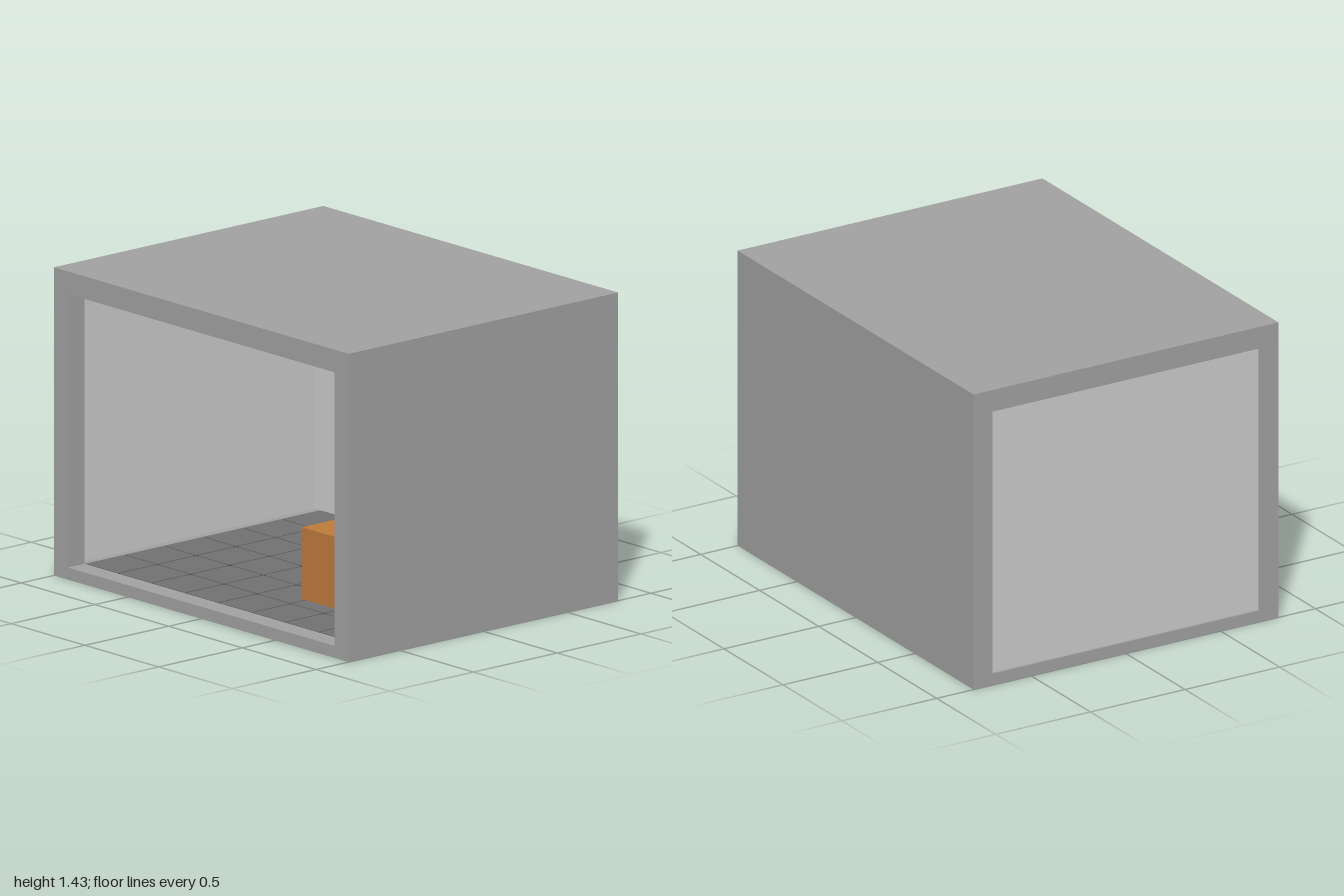
import * as THREE from 'three';

const mat = (color) => new THREE.MeshStandardMaterial({ color });
const M = {
  shell: mat(0xa1a1a1), wall: mat(0xcccccc), tile: mat(0x717171), grout: mat(0x2a2a2a),
  cream: mat(0xfaeae2), wood: mat(0xbd7b3a), black: mat(0x151515), metal: mat(0x8a8f92),
};

// Box given by its min and max on each axis
function box(parent, name, material, [x0, x1], [y0, y1], [z0, z1]) {
  const mesh = new THREE.Mesh(new THREE.BoxGeometry(x1 - x0, y1 - y0, z1 - z0), material);
  mesh.position.set((x0 + x1) / 2, (y0 + y1) / 2, (z0 + z1) / 2);
  mesh.name = name;
  parent.add(mesh);
  return mesh;
}

function part(parent, name) {
  const g = new THREE.Group();
  g.name = name;
  parent.add(g);
  return g;
}

const H = 1.43, W = 0.905, D = 0.705, FLOOR = 0.057, CEIL = 1.325;

function addRoom(root) {
  const room = part(root, 'room');
  box(room, 'floorSlab', M.shell, [-1, 1], [0, 0.05], [-0.805, 0.805]);
  box(room, 'ceiling', M.shell, [-1, 1], [CEIL, H], [-0.805, 0.805]);
  box(room, 'backWall', M.shell, [-1, 1], [0.05, CEIL], [-0.805, -D]);
  box(room, 'leftWall', M.shell, [W, 1], [0.05, CEIL], [-D, 0.805]);
  box(room, 'cornerPost', M.shell, [-1, -W], [0.05, CEIL], [D, 0.805]);
  // Low sills under the two openings
  box(room, 'frontSill', M.shell, [-W, W], [0.05, 0.056], [D, 0.805]);
  box(room, 'sideSill', M.shell, [-1, -W], [0.05, 0.056], [-D, D]);
  // Pale wall panels
  box(room, 'sidePanel', M.wall, [-0.99, -0.94], [0.056, CEIL], [-D, D]);
  box(room, 'backLining', M.wall, [-0.94, W], [0.05, CEIL], [-D, -0.7]);
  box(room, 'leftLining', M.wall, [W - 0.004, W], [0.05, CEIL], [-0.7, D]);

  // Tiled floor: dark grout under separate tiles
  const floor = part(root, 'tiledFloor');
  box(floor, 'grout', M.grout, [-W, W], [0.05, 0.052], [-0.7, D]);
  const nx = 8, nz = 6, gap = 0.006, sx = (2 * W) / nx, sz = (2 * D) / nz;
  for (let i = 0; i < nx; i++) {
    for (let j = 0; j < nz; j++) {
      const x = -W + i * sx, z = -D + j * sz;
      box(floor, 'floorTile', M.tile, [x + gap, x + sx - gap], [0.052, FLOOR], [z + gap, z + sz - gap]);
    }
  }
}

function addCabinet(root) {
  const cabinet = part(root, 'filingCabinet');
  box(cabinet, 'cabinetBody', M.cream, [-0.135, 0.045], [FLOOR, 0.5], [-0.545, -0.352]);
  box(cabinet, 'cabinetTop', M.cream, [-0.14, 0.05], [0.5, 0.53], [-0.546, -0.342]);
  // Three drawers, each with a dark recessed pull under a lip
  for (const y of [0.15, 0.305, 0.44]) {
    const drawer = part(cabinet, 'cabinetDrawer');
    const low = y < 0.2 ? 0.075 : y < 0.4 ? 0.23 : 0.368;
    const high = y < 0.2 ? 0.222 : y < 0.4 ? 0.36 : 0.495;
    box(drawer, 'drawerFront', M.cream, [-0.128, 0.04], [low, high], [-0.352, -0.344]);
    box(drawer, 'drawerPull', M.black, [-0.08, -0.012], [y - 0.016, y + 0.014], [-0.344, -0.341]);
    box(drawer, 'pullLip', M.cream, [-0.083, -0.009], [y + 0.014, y + 0.022], [-0.344, -0.336]);
  }
}

function addDesk(root) {
  const desk = part(root, 'desk');
  box(desk, 'deskTop', M.wood, [0.2, 0.43], [0.37, 0.39], [-0.26, 0.38]);
  box(desk, 'frontEndPanel', M.wood, [0.2, 0.43], [FLOOR, 0.37], [0.36, 0.38]);
  box(desk, 'backEndPanel', M.wood, [0.2, 0.43], [FLOOR, 0.37], [-0.26, -0.24]);
  // Drawer pedestal opening towards the sitter
  box(desk, 'pedestalBase', M.wood, [0.2, 0.43], [FLOOR, 0.072], [-0.24, -0.06]);
  box(desk, 'pedestalBody', M.wall, [0.2, 0.42], [0.072, 0.37], [-0.24, -0.062]);
  for (const [y0, y1] of [[0.08, 0.176], [0.182, 0.27], [0.276, 0.364]]) {
    box(desk, 'deskDrawer', M.wood, [0.42, 0.428], [y0, y1], [-0.236, -0.066]);
    if (y0 > 0.1) box(desk, 'deskHandle', M.black, [0.428, 0.436], [y0 + 0.038, y0 + 0.048], [-0.18, -0.12]);
  }
}

function addDeskItems(root) {
  // Monitor facing the sitter
  const monitor = part(root, 'monitor');
  box(monitor, 'monitorBase', M.metal, [0.225, 0.295], [0.39, 0.398], [0.07, 0.165]);
  box(monitor, 'monitorNeck', M.metal, [0.238, 0.248], [0.398, 0.47], [0.1, 0.135]);
  box(monitor, 'monitorCase', M.metal, [0.242, 0.256], [0.435, 0.545], [0.01, 0.22]);
  box(monitor, 'monitorScreen', M.black, [0.256, 0.258], [0.441, 0.539], [0.016, 0.214]);

  // Leaning picture frame with a back strut
  const frame = part(root, 'pictureFrame');
  box(frame, 'frameFace', M.black, [-0.012, 0.012], [0, 0.078], [-0.05, 0.05]);
  box(frame, 'frameTrim', M.wood, [-0.013, 0.013], [0.078, 0.086], [-0.052, 0.052]);
  frame.position.set(0.298, 0.393, -0.15);
  frame.rotation.z = 0.38;
  const strut = box(root, 'frameStrut', M.black, [0.266, 0.271], [0.391, 0.45], [-0.16, -0.14]);
  strut.rotation.z = -0.12;
}

export function createModel() {
  const root = new THREE.Group();
  root.name = 'officeRoom';
  addRoom(root);
  addCabinet(root);
  addDesk(root);
  addDeskItems(root);
  return root;
}
